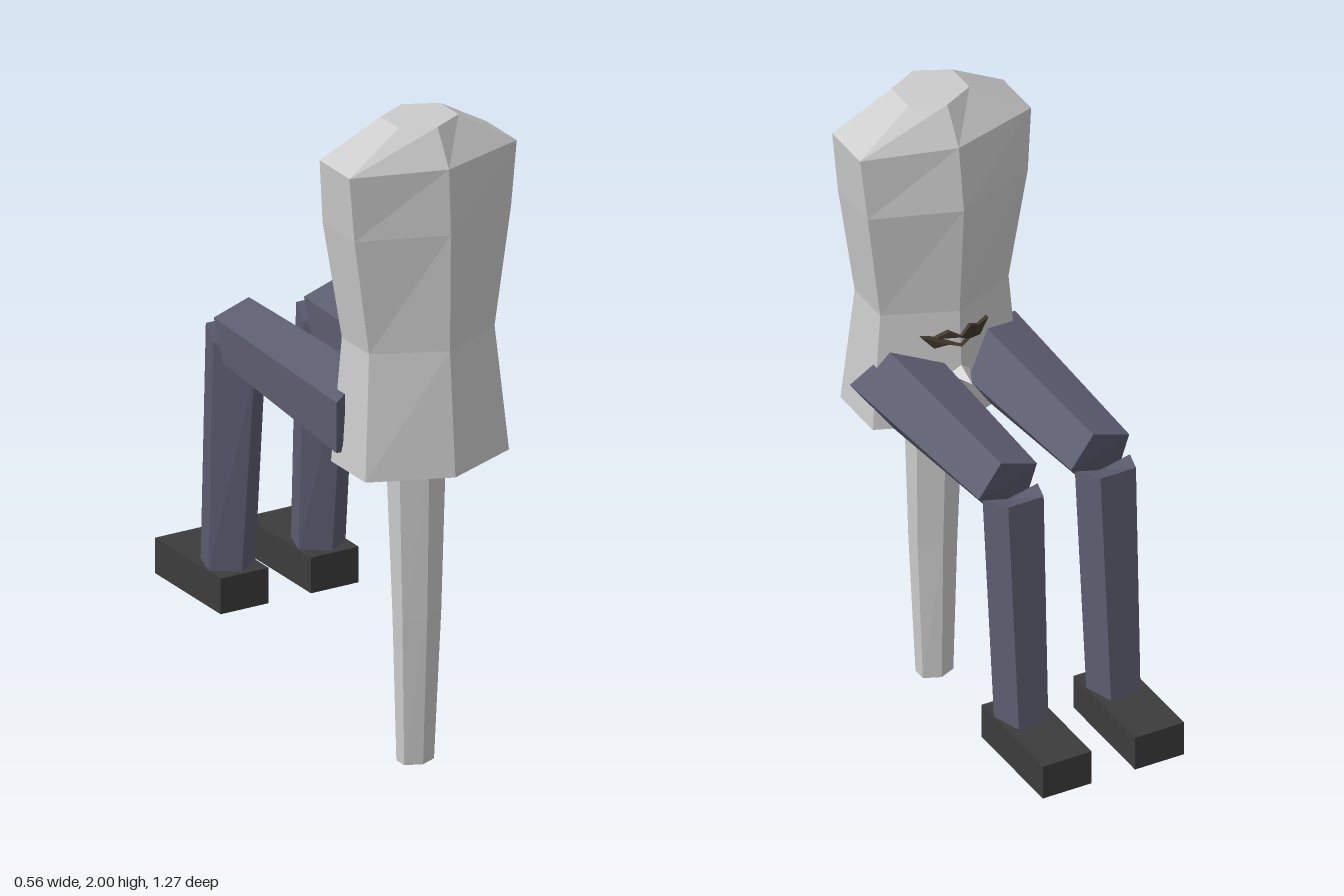
import * as THREE from 'three';

const paint = (color) => new THREE.MeshStandardMaterial({ color, flatShading: true, side: THREE.DoubleSide });

// Skin a list of rings (arrays of [x, y, z]) and close both ends with fans
function loft(rings) {
  const pos = [];
  const n = rings[0].length;
  const centre = (r) => [0, 1, 2].map((k) => r.reduce((s, p) => s + p[k], 0) / n);
  const first = rings[0], last = rings[rings.length - 1];
  const c0 = centre(first), c1 = centre(last);
  for (let j = 0; j < n; j++) {
    const k = (j + 1) % n;
    for (let i = 0; i < rings.length - 1; i++) {
      const a = rings[i], b = rings[i + 1];
      pos.push(...a[j], ...a[k], ...b[k], ...a[j], ...b[k], ...b[j]);
    }
    pos.push(...c0, ...first[k], ...first[j], ...c1, ...last[j], ...last[k]);
  }
  const g = new THREE.BufferGeometry();
  g.setAttribute('position', new THREE.Float32BufferAttribute(pos, 3));
  g.computeVertexNormals();
  return g;
}

// Six-sided section with a ridge at front and back
const hexRing = ([y, w, front, z1, z2, back]) => [
  [-w, y, z1], [0, y, front], [w, y, z1], [w, y, z2], [0, y, back], [-w, y, z2],
];

export function createModel() {
  const model = new THREE.Group();
  const grey = paint(0xcccccc), cloth = paint(0x5c5c70), sole = paint(0x3c3c3c), hair = paint(0x40362c);

  const add = (parent, name, geometry, material) => {
    const mesh = new THREE.Mesh(geometry, material);
    mesh.name = name;
    parent.add(mesh);
    return mesh;
  };

  // Body: y, half width, front ridge, front corner, back corner, back ridge
  add(model, 'torso', loft([
    [0.95, 0.24, 0.635, 0.535, 0.345, 0.245],
    [1.33, 0.21, 0.605, 0.505, 0.355, 0.265],
    [1.69, 0.262, 0.61, 0.51, 0.335, 0.24],
    [1.89, 0.28, 0.6, 0.512, 0.348, 0.27],
    [2.0, 0.1, 0.537, 0.487, 0.387, 0.338],
  ].map(hexRing)), grey);

  // Supporting post
  add(model, 'post', loft([
    [0, 0.05, 0.457, 0.435, 0.392, 0.37],
    [0.46, 0.065, 0.48, 0.45, 0.395, 0.362],
    [0.96, 0.078, 0.492, 0.455, 0.38, 0.342],
  ].map(hexRing)), grey);

  // Small spike and curved strip on the back ridge
  const spike = add(model, 'spike', new THREE.ConeGeometry(0.035, 0.08, 4), grey);
  spike.rotation.x = -Math.PI / 2;
  spike.position.set(0, 1.12, 0.23);

  const outline = [[0, 1.25], [0.035, 1.27], [0.07, 1.25], [0.11, 1.255], [0.075, 1.215], [0.035, 1.225], [0, 1.215]];
  const mirrored = outline.slice(1, -1).reverse().map(([x, y]) => [-x, y]);
  const strip = new THREE.ExtrudeGeometry(
    new THREE.Shape([...outline, ...mirrored].map(([x, y]) => new THREE.Vector2(x, y))),
    { depth: 0.02, bevelEnabled: false });
  const p = strip.attributes.position;
  for (let i = 0; i < p.count; i++) p.setZ(i, p.getZ(i) + 0.25 + 0.4 * Math.abs(p.getX(i)));
  strip.computeVertexNormals();
  add(model, 'curvedStrip', strip, hair);

  // Five-sided thigh section with its ridge towards +x; z for top, tip, bottom, lower and upper flat corners
  const thighRing = (cx, cy, r, z) => z.map((depth, i) => {
    const a = (1 - i) * Math.PI * 0.4;
    return [cx + r * Math.cos(a), cy + r * Math.sin(a), depth];
  });
  const thigh = loft([
    thighRing(0.147, 1.08, 0.132, [0.345, 0.41, 0.325, 0.41, 0.41]),
    thighRing(0.15, 1.102, 0.105, [-0.305, -0.305, -0.23, -0.255, -0.305]),
  ]);

  // Five-sided shin section with its ridge towards +z
  const shinRing = (half, flat, ySide, zSide, yTip, zTip, yFlat, zFlat) => [
    [0.15 - half, ySide, zSide], [0.15, yTip, zTip], [0.15 + half, ySide, zSide],
    [0.15 + flat, yFlat, zFlat], [0.15 - flat, yFlat, zFlat],
  ];
  const shin = loft([
    shinRing(0.078, 0.048, 0.36, -0.345, 0.36, -0.29, 0.36, -0.438),
    shinRing(0.09, 0.058, 1.09, -0.3, 1.0, -0.222, 1.11, -0.393),
  ]);

  // Foot: block left open underneath
  const foot = new THREE.BoxGeometry(0.16, 0.11, 0.36);
  foot.setIndex(Array.from(foot.index.array).filter((_, i) => i < 18 || i >= 24));
  foot.translate(0.15, 0.31, -0.455);

  // Both legs are the same shape, set side by side
  for (const [name, x] of [['leftLeg', 0], ['rightLeg', -0.302]]) {
    const leg = new THREE.Group();
    leg.name = name;
    leg.position.x = x;
    add(leg, 'thigh', thigh, cloth);
    add(leg, 'shin', shin, cloth);
    add(leg, 'foot', foot, sole);
    model.add(leg);
  }
  return model;
}
